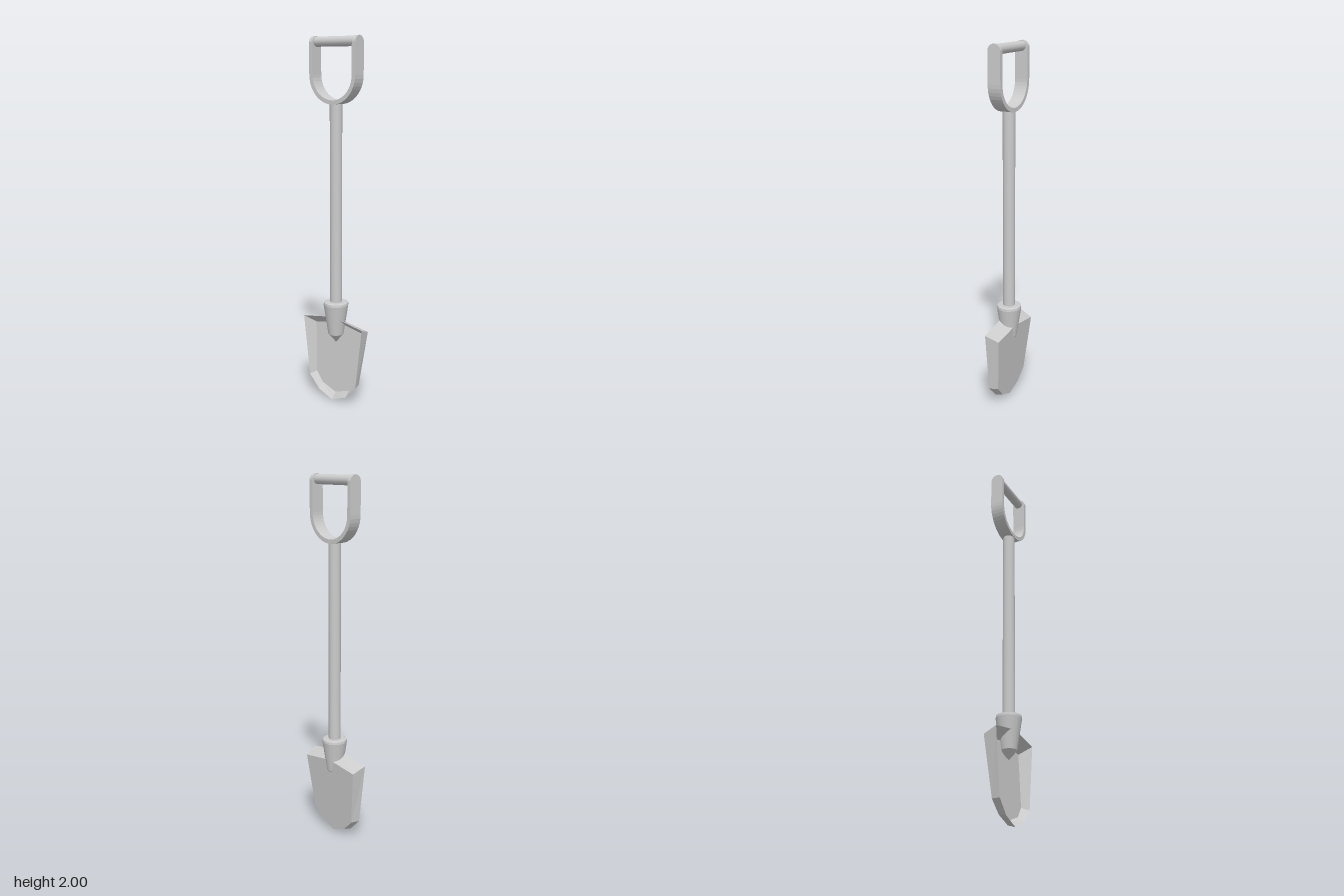
import * as THREE from 'three';

// Mirrors a half outline (top centre first, tip last) into a counterclockwise ring.
function ring(half, depth) {
  const left = half.map(([x, y]) => [-x, y, depth(y)]);
  const right = half.slice(1, -1).reverse().map(([x, y]) => [x, y, depth(y)]);
  return [...left, ...right];
}

// Dished blade: recessed floor, sharp front rim, flared outer wall and flat back.
function bladeGeometry() {
  const backZ = (y) => -0.005 - 0.086 * (y - 0.01);
  const rim = ring([[0, 0.495], [0.205, 0.46], [0.163, 0.115], [0.095, 0.043], [0, 0.005]], () => 0.035);
  const floor = ring([[0, 0.445], [0.165, 0.415], [0.143, 0.13], [0.095, 0.073], [0, 0.04]], (y) => backZ(y) + 0.012);
  const back = ring([[0, 0.458], [0.19, 0.43], [0.15, 0.118], [0.09, 0.053], [0, 0.016]], backZ);
  const pos = [];
  const tri = (a, b, c) => pos.push(...a, ...b, ...c);
  const strip = (a, b) => a.forEach((p, i) => {
    const j = (i + 1) % a.length;
    tri(p, a[j], b[i]);
    tri(a[j], b[j], b[i]);
  });
  strip(rim, floor);
  strip(back, rim);
  for (let i = 1; i < floor.length - 1; i++) {
    tri(floor[0], floor[i], floor[i + 1]);
    tri(back[0], back[i + 1], back[i]);
  }
  const g = new THREE.BufferGeometry();
  g.setAttribute('position', new THREE.Float32BufferAttribute(pos, 3));
  g.computeVertexNormals();
  return g;
}

export function createModel() {
  const group = new THREE.Group();
  const metal = new THREE.MeshStandardMaterial({ color: 0xcccccc });
  const add = (name, geometry, x = 0, y = 0, z = 0) => {
    const mesh = new THREE.Mesh(geometry, metal);
    mesh.name = name;
    mesh.position.set(x, y, z);
    group.add(mesh);
    return mesh;
  };

  add('blade', bladeGeometry());

  // Tapered socket with a bevelled collar and a pointed end, each band creased
  const socket = [[0, 0.34], [0.043, 0.39], [0.069, 0.56], [0.067, 0.573], [0.058, 0.577], [0, 0.577]];
  for (let i = 0; i < socket.length - 1; i++) {
    const band = [socket[i], socket[i + 1]].map(([r, y]) => new THREE.Vector2(r, y));
    add('socket', new THREE.LatheGeometry(band, 16));
  }

  add('shaft', new THREE.CylinderGeometry(0.033, 0.033, 1.1, 16), 0, 1.115, 0);

  // D-shaped handle frame
  const outer = 0.152, inner = 0.13, half = 0.036, bend = 1.803, top = 1.964;
  const u = new THREE.Shape();
  u.moveTo(-outer, top);
  u.lineTo(-outer, bend);
  u.absarc(0, bend, outer, Math.PI, Math.PI * 2, false);
  u.lineTo(outer, top);
  u.lineTo(inner, top);
  u.lineTo(inner, bend);
  u.absarc(0, bend, inner, 0, -Math.PI, true);
  u.lineTo(-inner, top);
  u.closePath();
  add('handleFrame', new THREE.ExtrudeGeometry(u, { depth: half * 2, bevelEnabled: false, curveSegments: 12 }), 0, 0, -half);

  // Rounded arm ends
  for (const s of [-1, 1]) {
    const end = new THREE.CylinderGeometry(half, half, outer - inner, 12, 1, false, 0, Math.PI);
    end.rotateZ(Math.PI / 2);
    add('armEnd', end, s * (outer + inner) / 2, top, 0);
  }

  // Cross bar
  const grip = new THREE.CylinderGeometry(0.026, 0.026, inner * 2 + 0.01, 16);
  grip.rotateZ(Math.PI / 2);
  add('grip', grip, 0, 1.971, 0);

  return group;
}
